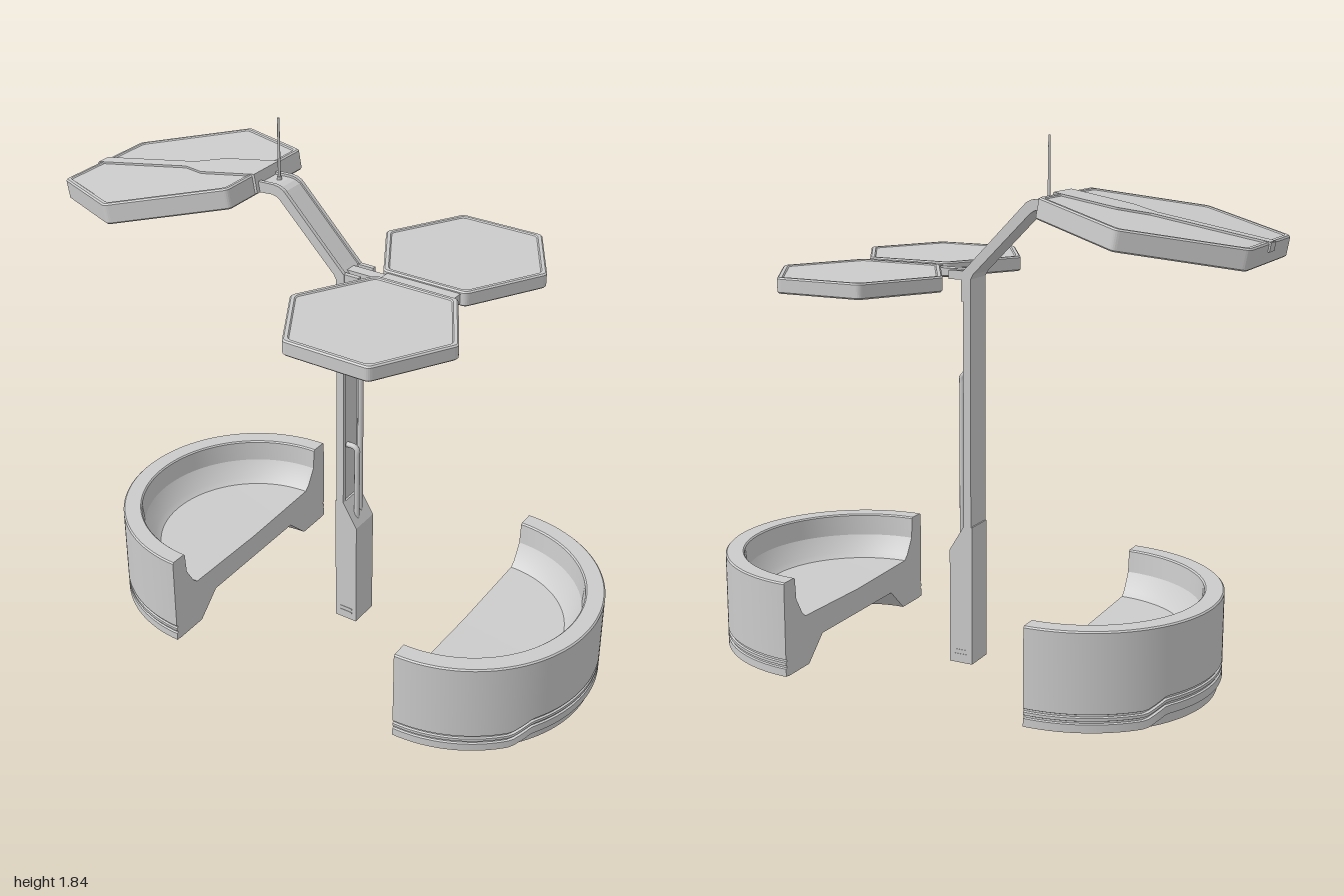
import * as THREE from 'three';
import { toCreasedNormals } from 'three/addons/utils/BufferGeometryUtils.js';

const V2 = (p) => new THREE.Vector2(p[0], p[1]);
const material = new THREE.MeshStandardMaterial({ color: 0xcccccc });

function mesh(name, geometry, x = 0, y = 0, z = 0) {
  const m = new THREE.Mesh(geometry, material);
  m.name = name;
  m.position.set(x, y, z);
  return m;
}

const box = (name, w, h, d, x, y, z) => mesh(name, new THREE.BoxGeometry(w, h, d), x, y, z);

// Outline in the x-y plane, extruded from z - half to z + half
function slab(name, points, half, z = 0) {
  const geo = new THREE.ExtrudeGeometry(new THREE.Shape(points.map(V2)), { depth: half * 2, bevelEnabled: false });
  geo.translate(0, 0, z - half);
  return mesh(name, geo);
}

// Hexagon with rounded corners
function hexPath(Path, radius, turn, round = 0.014) {
  const c = [];
  for (let i = 0; i < 6; i++) {
    const a = turn + (i * Math.PI) / 3;
    c.push(new THREE.Vector2(Math.cos(a) * radius, Math.sin(a) * radius));
  }
  const path = new Path();
  c.forEach((p, i) => {
    const t = round / radius;
    const a = p.clone().lerp(c[(i + 5) % 6], t);
    const b = p.clone().lerp(c[(i + 1) % 6], t);
    if (i === 0) path.moveTo(a.x, a.y);
    else path.lineTo(a.x, a.y);
    path.quadraticCurveTo(p.x, p.y, b.x, b.y);
  });
  path.closePath();
  return path;
}

// Lying hexagonal panel: bevelled frame around a slightly recessed plate
function hexPanel(name, radius, thick, turn) {
  const group = new THREE.Group();
  group.name = name;
  const frame = hexPath(THREE.Shape, radius, turn);
  frame.holes.push(hexPath(THREE.Path, radius - 0.024, turn));
  const bevel = 0.005;
  const frameGeo = new THREE.ExtrudeGeometry(frame, {
    depth: thick - bevel * 2, bevelThickness: bevel, bevelSize: bevel, bevelOffset: -bevel,
    bevelSegments: 1, curveSegments: 4,
  });
  frameGeo.translate(0, 0, bevel - thick / 2);
  const inner = thick - 0.008;
  const plateGeo = new THREE.ExtrudeGeometry(hexPath(THREE.Shape, radius - 0.016, turn), {
    depth: inner, bevelEnabled: false, curveSegments: 4,
  });
  plateGeo.translate(0, 0, -inner / 2);
  for (const g of [frameGeo, plateGeo]) g.rotateX(-Math.PI / 2);
  group.add(mesh('panelFrame', frameGeo), mesh('panelPlate', plateGeo));
  return group;
}

// Half-round bench: half-turned section, closed by a flat face at x = 0
function bench(name) {
  const R = 0.473;
  const profile = [
    [0, 0.085], [0.24, 0.085], [0.33, 0], [R - 0.015, 0], [R - 0.015, 0.002], [R, 0.002],
    [R, 0.03], [R - 0.006, 0.033], [R - 0.006, 0.039], [R, 0.042],
    [R, 0.052], [R - 0.006, 0.055], [R - 0.006, 0.061], [R, 0.064],
    [R, 0.15], [R, 0.335], [R - 0.005, 0.34], [0.411, 0.34], [0.406, 0.335],
    [0.4, 0.26], [0.365, 0.2], [0.345, 0.183], [0, 0.175],
  ];
  const turned = new THREE.LatheGeometry(profile.map(V2), 72, 0, Math.PI);
  // Raise the toe line and grooves around the middle of the back
  const pos = turned.attributes.position;
  for (let i = 0; i < pos.count; i++) {
    const x = pos.getX(i), y = pos.getY(i), z = pos.getZ(i);
    if (Math.hypot(x, z) < R - 0.02 || y > 0.1 || y < 0.001) continue;
    const lift = THREE.MathUtils.clamp((0.31 - Math.abs(z)) / 0.06, 0, 1);
    pos.setY(i, y + 0.036 * lift);
  }
  const mirrored = profile.slice(1, -1).reverse().map(([r, y]) => [-r, y]);
  const face = new THREE.ShapeGeometry(new THREE.Shape([...profile.slice(1), ...mirrored].map(V2)));
  face.rotateY(-Math.PI / 2);
  const group = new THREE.Group();
  group.name = name;
  group.add(mesh('benchShell', toCreasedNormals(turned, 0.4)), mesh('benchFace', face));
  return group;
}

// Handrail pipe on the column, bent into it at the top
function pipe(name, x, top, z) {
  const path = new THREE.CatmullRomCurve3([
    [x, 0.43], [x, 0.5], [x, top - 0.05], [x, top - 0.02], [x - 0.01, top - 0.01], [0.03, top - 0.01],
  ].map(([px, py]) => new THREE.Vector3(px, py, z)), false, 'centripetal');
  return mesh(name, new THREE.TubeGeometry(path, 40, 0.01, 10));
}

export function createModel() {
  const model = new THREE.Group();
  model.name = 'solarShelter';

  // Benches
  const leftBench = bench('leftBench');
  leftBench.position.set(0.526, 0, 0.022);
  const rightBench = bench('rightBench');
  rightBench.position.set(-0.376, 0, 0.022);
  rightBench.rotation.y = Math.PI;
  model.add(leftBench, rightBench);

  // Column: thick foot, thin upper plate, side rails and top bracket
  const column = new THREE.Group();
  column.name = 'column';
  column.add(
    slab('columnFoot', [[0.013, 0], [0.1, 0], [0.1, 0.41], [0.045, 0.5], [0.013, 0.5]], 0.055),
    box('columnPlate', 0.02, 0.88, 0.1, 0.028, 0.93, 0),
    box('columnBracket', 0.012, 0.075, 0.108, 0.047, 1.322, 0),
    pipe('longPipe', 0.07, 1.04, -0.015),
    pipe('shortPipe', 0.078, 0.73, 0.018),
  );
  for (const s of [-1, 1]) {
    column.add(box('columnRail', 0.028, 0.87, 0.014, 0.031, 0.925, s * 0.048));
    for (let i = 0; i < 2; i++) column.add(box('footVent', 0.05, 0.006, 0.003, 0.058, 0.03 + i * 0.016, s * 0.055));
  }
  model.add(column);

  // Bent arm: recessed core between two rails
  const arm = new THREE.Group();
  arm.name = 'arm';
  const armOutline = (drop) => [
    [0.017, 1.34], [0.047, 1.34], [0.047, 1.385 - drop], [0.02, 1.412 - drop], [-0.175, 1.613 - drop],
    [-0.187, 1.625 - drop], [-0.205, 1.634 - drop], [-0.225, 1.637 - drop], [-0.285, 1.635 - drop],
    [-0.285, 1.598], [-0.23, 1.602], [-0.215, 1.598], [-0.2, 1.588], [0.008, 1.377], [0.017, 1.36],
  ];
  arm.add(slab('armCore', armOutline(0.008), 0.045));
  for (const s of [-1, 1]) {
    arm.add(slab('armRail', armOutline(0), 0.007, s * 0.048));
    arm.add(box('armFork', 0.06, 0.03, 0.016, 0.07, 1.372, s * 0.045));
  }
  arm.add(
    box('armLink', 0.14, 0.026, 0.04, 0.1, 1.375, 0),
    mesh('antenna', new THREE.CylinderGeometry(0.004, 0.005, 0.22, 8), -0.247, 1.73, -0.01),
    mesh('antennaBase', new THREE.CylinderGeometry(0.008, 0.008, 0.012, 12), -0.247, 1.634, -0.01),
  );
  model.add(arm);

  // Pair of small level panels with their connector
  for (const s of [-1, 1]) {
    const panel = hexPanel(s > 0 ? 'frontPanel' : 'backPanel', 0.304, 0.052, 0);
    panel.position.set(0.3, 1.375, s * 0.286);
    model.add(panel);
  }
  model.add(box('panelConnector', 0.27, 0.034, 0.09, 0.298, 1.375, 0));

  // Large tilted panel with a widening spine on top
  const large = hexPanel('largePanel', 0.407, 0.07, Math.PI / 6);
  const half = [[-0.355, 0.025], [0.04, 0.025], [0.14, 0.07], [0.36, 0.07]];
  const spineShape = new THREE.Shape([...half.map(([x, z]) => [x, -z]), ...half.slice().reverse()].map(V2));
  const spineGeo = new THREE.ExtrudeGeometry(spineShape, { depth: 0.02, bevelEnabled: false });
  spineGeo.rotateX(-Math.PI / 2);
  large.add(
    mesh('panelSpine', spineGeo, 0, 0.018, 0),
    box('spineMount', 0.014, 0.066, 0.14, 0.355, 0.005, 0),
    box('spineTip', 0.008, 0.03, 0.05, -0.354, 0.021, 0),
  );
  large.position.set(-0.64, 1.562, 0);
  large.rotation.z = THREE.MathUtils.degToRad(10.2);
  model.add(large);

  return model;
}
